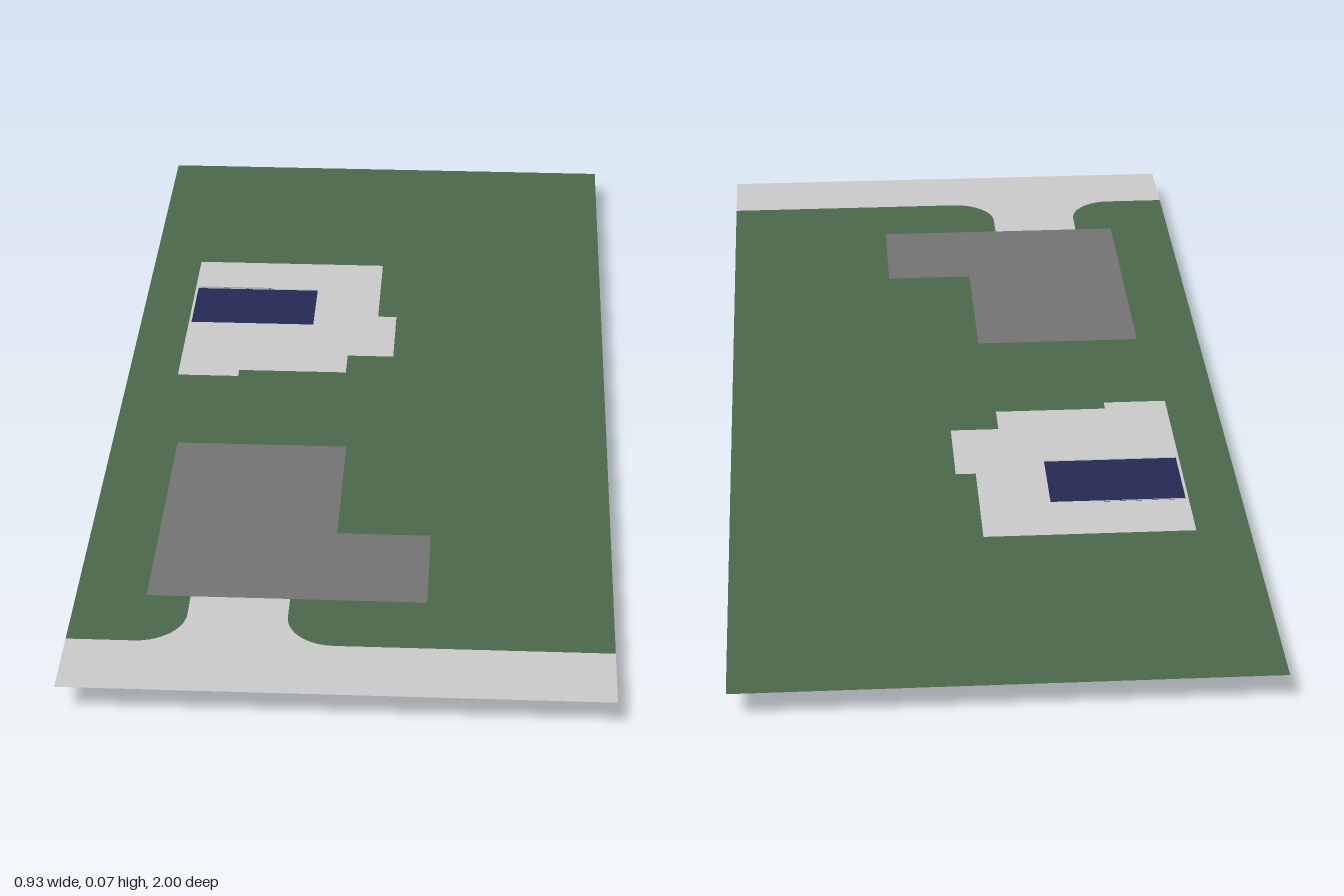
import * as THREE from 'three';

const TOP = 0.066; // level of the ground sheet
const W = 0.463;   // half width of the plot

const material = (color) => new THREE.MeshStandardMaterial({ color, side: THREE.DoubleSide });
const concrete = material(0xcccccc);
const grass = material(0x4d694d);
const slab = material(0x747474);
const navy = material(0x252a55);

// Outlines are given as [x, z] corners
const vec = ([x, z]) => new THREE.Vector2(x, -z);
const outline = (points) => points.map(vec);

function sheet(name, points, mat, y = TOP, holes = []) {
  const shape = new THREE.Shape(outline(points));
  for (const hole of holes) shape.holes.push(new THREE.Path(outline(hole)));
  const mesh = new THREE.Mesh(new THREE.ShapeGeometry(shape).rotateX(-Math.PI / 2), mat);
  mesh.name = name;
  mesh.position.y = y;
  return mesh;
}

// Quarter-round kerb from the drive side (x) out to the road edge
function kerb(x, side, roadZ, r = 0.083, steps = 10) {
  const points = [];
  for (let i = 0; i <= steps; i++) {
    const a = (i / steps) * Math.PI / 2;
    points.push([x + side * r * (1 - Math.cos(a)), roadZ - r + r * Math.sin(a)]);
  }
  return points;
}

export function createModel() {
  const model = new THREE.Group();
  model.name = 'sitePlan';

  const roadZ = 0.86, houseZ = 0.722;
  const leftKerb = kerb(-0.265, -1, roadZ);
  const rightKerb = kerb(-0.093, 1, roadZ);

  const house = [[-0.341, 0.206], [-0.024, 0.206], [-0.024, 0.508], [0.143, 0.508],
    [0.143, houseZ], [-0.341, houseZ]];
  const patio = [[-0.367, -0.534], [0.013, -0.534], [0.013, -0.31], [0.05, -0.31],
    [0.05, -0.145], [-0.04, -0.145], [-0.04, -0.077], [-0.249, -0.077],
    [-0.249, -0.053], [-0.367, -0.053]];
  const pool = [[-0.362, -0.424], [-0.21, -0.424], [-0.21, -0.42], [-0.116, -0.42],
    [-0.116, -0.27], [-0.362, -0.27]];

  // Lawn wraps around the house and the drive
  const lawn = [[-W, -1], [W, -1], [W, roadZ], ...[...rightKerb].reverse(),
    [-0.093, houseZ], [0.143, houseZ], [0.143, 0.508], [-0.024, 0.508],
    [-0.024, 0.206], [-0.341, 0.206], [-0.341, houseZ], [-0.265, houseZ],
    ...leftKerb, [-W, roadZ]];
  model.add(sheet('lawn', lawn, grass, TOP, [patio]));

  // Road with the flared drive
  const road = [[-W, 1], [-W, roadZ], ...[...leftKerb].reverse(), [-0.265, houseZ],
    [-0.093, houseZ], ...rightKerb, [W, roadZ], [W, 1]];
  model.add(sheet('roadAndDrive', road, concrete));

  model.add(sheet('houseFootprint', house, slab));
  model.add(sheet('patio', patio, concrete, TOP, [pool]));
  model.add(sheet('poolWater', pool, navy, TOP - 0.002));

  // Pool basin hanging below the patio: floor and four walls
  const x0 = -0.363, x1 = -0.108, z0 = -0.42, z1 = -0.256;
  const cx = (x0 + x1) / 2, cz = (z0 + z1) / 2;
  const basin = new THREE.Group();
  basin.name = 'poolBasin';
  basin.add(sheet('poolFloor', [[x0, z0], [x1, z0], [x1, z1], [x0, z1]], concrete, 0));
  const walls = [[cx, z1, x1 - x0, 0], [x1, cz, z1 - z0, 1], [cx, z0, x1 - x0, 2], [x0, cz, z1 - z0, 3]];
  for (const [x, z, width, turn] of walls) {
    const wall = new THREE.Mesh(new THREE.PlaneGeometry(width, TOP), concrete);
    wall.name = 'poolWall';
    wall.position.set(x, TOP / 2, z);
    wall.rotation.y = turn * Math.PI / 2;
    basin.add(wall);
  }
  model.add(basin);
  return model;
}
